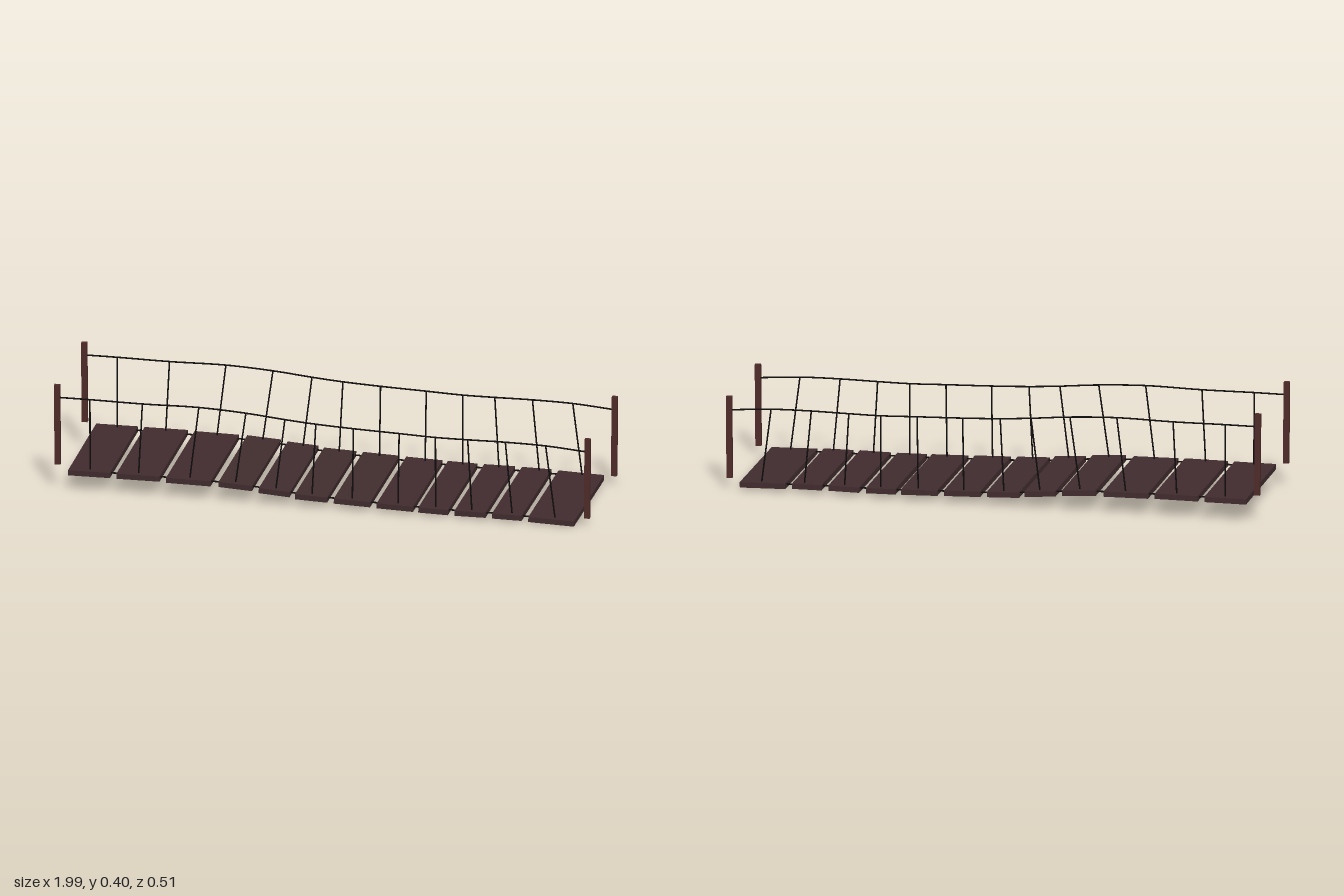
import * as THREE from 'three';

export function createModel() {
  const root = new THREE.Group();
  root.name = 'ropeBridge';
  const bridge = new THREE.Group();
  bridge.name = 'bridge';
  root.add(bridge);

  const plankWood = new THREE.MeshStandardMaterial({ name: 'plankWood', color: 0x412c2e });
  const postWood = new THREE.MeshStandardMaterial({ name: 'postWood', color: 0x4f2c2a });
  const ropeDark = new THREE.MeshStandardMaterial({ name: 'ropeDark', color: 0x100d0d });

  const add = (name, geometry, material) => {
    const mesh = new THREE.Mesh(geometry, material);
    mesh.name = name;
    bridge.add(mesh);
    return mesh;
  };
  const rope = (name, points, radius, segments) =>
    add(name, new THREE.TubeGeometry(new THREE.CatmullRomCurve3(points), segments, radius, 6), ropeDark);

  // Each plank: left edge x, right edge x, centre height, slope
  const planks = [
    [-0.945, -0.79, 0.074, 0], [-0.765, -0.605, 0.074, 0], [-0.58, -0.415, 0.071, -0.015],
    [-0.385, -0.26, 0.067, -0.06], [-0.235, -0.12, 0.054, -0.07], [-0.1, 0.02, 0.042, -0.04],
    [0.045, 0.18, 0.036, -0.035], [0.205, 0.34, 0.03, -0.03], [0.36, 0.47, 0.026, -0.02],
    [0.495, 0.61, 0.025, 0.005], [0.635, 0.745, 0.024, -0.01], [0.77, 0.94, 0.0185, -0.03],
  ];
  planks.forEach(([x0, x1, y, slope], i) => {
    const plank = add('plank' + (i + 1), new THREE.BoxGeometry(x1 - x0, 0.02, 0.505), plankWood);
    plank.position.set((x0 + x1) / 2, y, 0);
    plank.rotation.set(0, 0.012 - i * 0.0014, slope);
  });

  // Hangers: x on the handrail, handrail height, x on the plank
  const hangers = [
    [-0.865, 0.354, -0.865], [-0.67, 0.352, -0.685], [-0.46, 0.354, -0.495], [-0.285, 0.345, -0.325],
    [-0.14, 0.331, -0.175], [-0.025, 0.322, -0.04], [0.115, 0.315, 0.11], [0.285, 0.309, 0.28],
    [0.42, 0.304, 0.42], [0.54, 0.304, 0.555], [0.68, 0.305, 0.705], [0.83, 0.302, 0.865],
  ];

  for (const side of [1, -1]) {
    const label = side > 0 ? 'front' : 'back';
    const z = side * 0.23;

    // Handrail between the end posts
    const rail = hangers.map(([x, y]) => new THREE.Vector3(x, y, z));
    rail.unshift(new THREE.Vector3(-0.985, 0.354, z));
    rail.push(new THREE.Vector3(0.985, 0.29, z));
    rope(label + 'Handrail', rail, 0.003, 80);

    // Rope threaded through the planks
    const floor = planks.map(([x0, x1, y]) => new THREE.Vector3((x0 + x1) / 2, y + 0.003, z));
    rope(label + 'FloorRope', floor, 0.003, 60);

    // Hangers from handrail to planks
    hangers.forEach(([x, y, foot], i) => rope(label + 'Hanger' + (i + 1), [
      new THREE.Vector3(x, y, z), new THREE.Vector3(foot, planks[i][2], z),
    ], 0.003, 1));

    // End posts
    for (const [name, x, y, lean] of [['RightPost', -0.986, 0.25, 0.006], ['LeftPost', 0.985, 0.188, -0.012]]) {
      const post = add(label + name, new THREE.BoxGeometry(0.021, 0.306, 0.016), postWood);
      post.position.set(x, y, z);
      post.rotation.z = lean;
    }
  }

  // The whole bridge leans slightly towards the front
  bridge.rotation.x = 0.015;
  return root;
}
